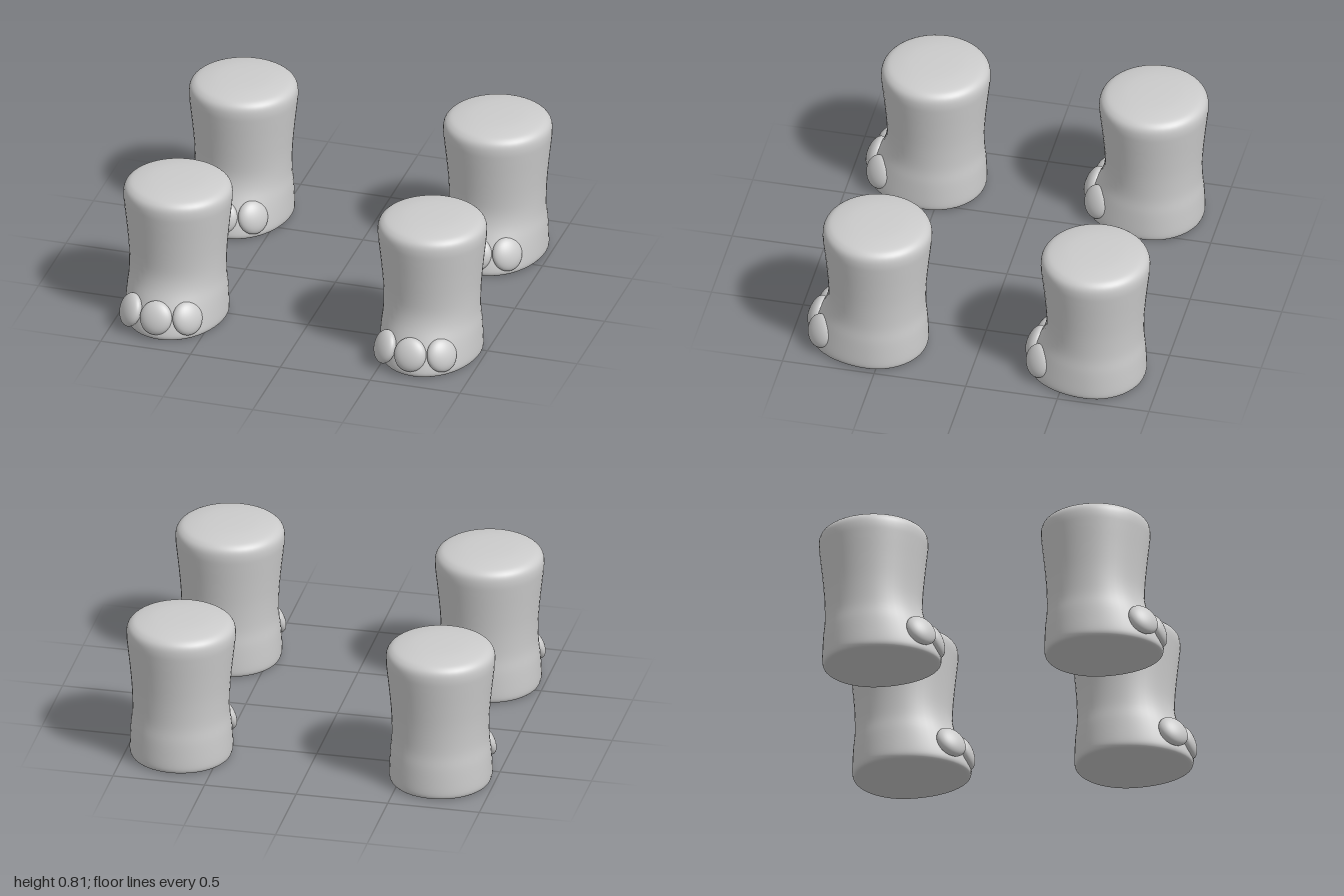
import * as THREE from 'three';
import { mergeVertices } from 'three/addons/utils/BufferGeometryUtils.js';

const material = new THREE.MeshStandardMaterial({ color: 0xcccccc });

// Leg: a turned column whose foot swells forward
function legGeometry() {
  const outline = [
    [0.262, 0.004], [0.27, 0.014], [0.274, 0.04], [0.272, 0.11], [0.268, 0.18], [0.26, 0.27],
    [0.263, 0.4], [0.274, 0.53], [0.287, 0.65], [0.292, 0.71], [0.287, 0.75],
    [0.268, 0.775], [0.235, 0.79], [0.16, 0.803], [0.08, 0.808],
  ].map(([r, y]) => new THREE.Vector2(r, y));
  const wall = new THREE.SplineCurve(outline).getPoints(56);
  const profile = [
    new THREE.Vector2(0, 0), new THREE.Vector2(0.24, 0), new THREE.Vector2(0.255, 0.001),
    ...wall, new THREE.Vector2(0, 0.81),
  ];
  let geometry = new THREE.LatheGeometry(profile, 48);
  geometry.deleteAttribute('uv');
  geometry.deleteAttribute('normal');
  geometry = mergeVertices(geometry, 1e-5);
  const p = geometry.attributes.position;
  for (let i = 0; i < p.count; i++) {
    const swell = 1 - THREE.MathUtils.smoothstep(p.getY(i), -0.02, 0.36);
    if (p.getZ(i) > 0) p.setZ(i, p.getZ(i) * (1 + 0.34 * swell));
  }
  geometry.computeVertexNormals();
  return geometry;
}

// Toenails: flattened balls, x, y, z and turn around the foot
const NAILS = [
  ['rightToenail', -0.18, 0.118, 0.275, -0.85],
  ['middleToenail', -0.022, 0.122, 0.332, 0],
  ['leftToenail', 0.138, 0.118, 0.28, 0.85],
];

export function createModel() {
  const model = new THREE.Group();
  model.name = 'legs';
  const legGeo = legGeometry();
  const nailGeo = new THREE.SphereGeometry(1, 32, 20);

  for (const [end, z] of [['front', 0.547], ['rear', -0.643]]) {
    for (const [side, x] of [['Left', 0.708], ['Right', -0.708]]) {
      const leg = new THREE.Group();
      leg.name = `${end}${side}Leg`;
      leg.position.set(x, 0, z);

      const column = new THREE.Mesh(legGeo, material);
      column.name = 'column';
      leg.add(column);

      for (const [name, nx, ny, nz, turn] of NAILS) {
        const nail = new THREE.Mesh(nailGeo, material);
        nail.name = name;
        nail.position.set(nx, ny, nz);
        nail.rotation.set(-0.35, turn, 0, 'YXZ');
        nail.scale.set(0.088, 0.092, 0.045);
        leg.add(nail);
      }
      model.add(leg);
    }
  }
  return model;
}
